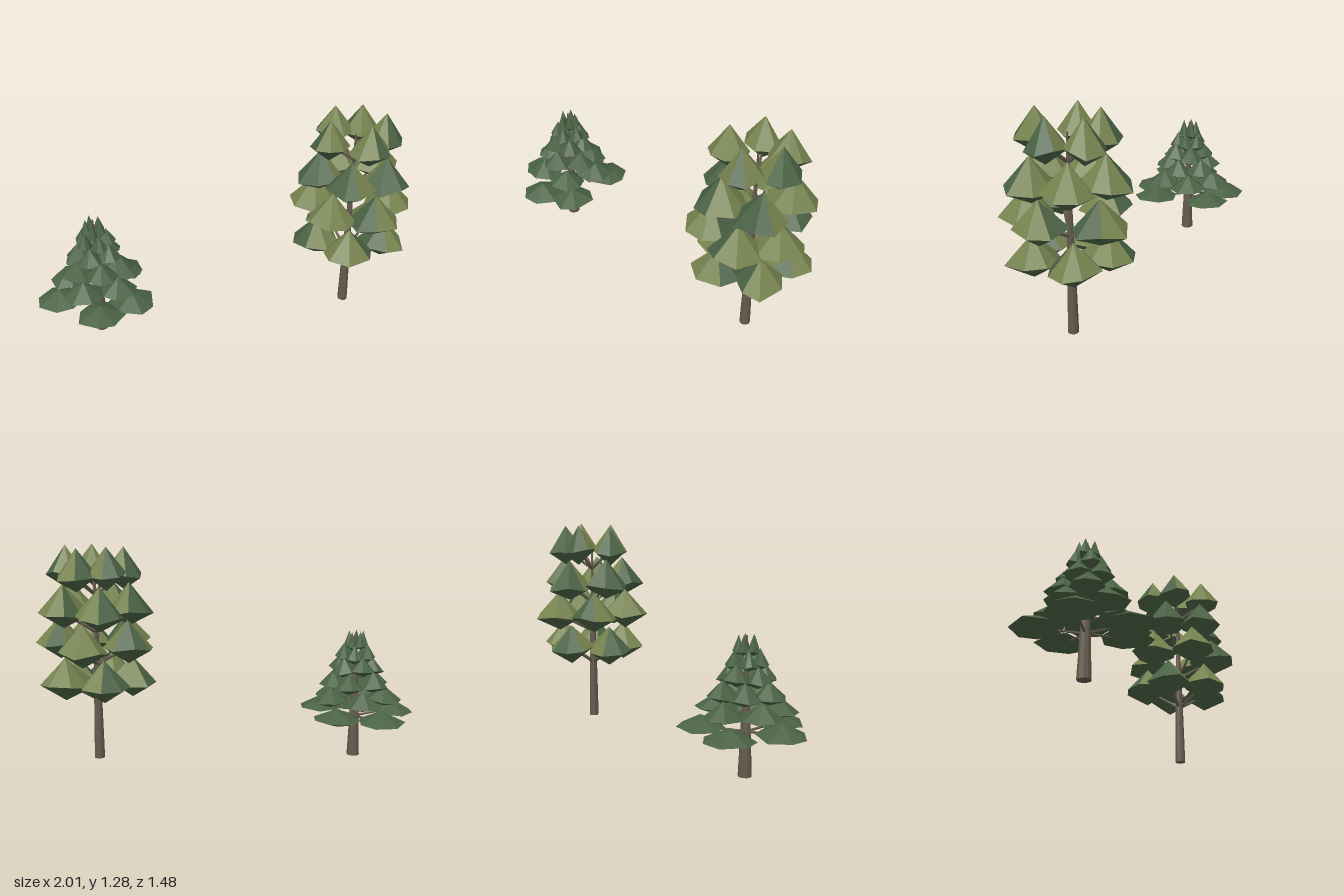
import * as THREE from 'three';

const make = (name, color) => {
  const m = new THREE.MeshStandardMaterial({ color, flatShading: true });
  m.name = name;
  return m;
};

// small seeded generator for slightly uneven rims
function seeded(seed) {
  let s = seed;
  return () => (s = (s * 16807) % 2147483647) / 2147483647;
}

// leaf clump: uneven seven-sided rim, tall peak above, shallow keel below
// material 0 is the underside, topOf(azimuth) picks the material of each upper facet
function clumpGeometry(r, up, down, rand, topOf) {
  const n = 7, rim = [], pos = [];
  const spin = rand() * Math.PI;
  for (let i = 0; i < n; i++) {
    const a = spin + ((i + 0.3 * (rand() - 0.5)) / n) * Math.PI * 2;
    const q = r * (0.94 + 0.16 * rand());
    rim.push([Math.sin(a) * q, (rand() - 0.6) * up * 0.22, Math.cos(a) * q]);
  }
  const geo = new THREE.BufferGeometry();
  for (let i = 0; i < n; i++) {
    const a = rim[i], b = rim[(i + 1) % n];
    pos.push(...a, ...b, 0, up, 0);
    pos.push(...b, ...a, 0, -down, 0);
    geo.addGroup(i * 6, 3, topOf(Math.atan2(a[0] + b[0], a[2] + b[2])));
    geo.addGroup(i * 6 + 3, 3, 0);
  }
  geo.setAttribute('position', new THREE.Float32BufferAttribute(pos, 3));
  geo.computeVertexNormals();
  return geo;
}

// tapered limb between two points
function limb(name, from, to, r0, r1, sides, material) {
  const dir = to.clone().sub(from);
  const mesh = new THREE.Mesh(new THREE.CylinderGeometry(r1, r0, dir.length(), sides), material);
  mesh.name = name;
  mesh.position.copy(from).addScaledVector(dir, 0.5);
  mesh.quaternion.setFromUnitVectors(new THREE.Vector3(0, 1, 0), dir.normalize());
  return mesh;
}

// trunk sections [height, radius], then tiers of clumps,
// each clump as [direction, middle of its green side, half width of its green side]
function buildTree({ name, trunk, tiers, leaves, bark, seed, rise, branchRadius }) {
  const tree = new THREE.Group();
  tree.name = name;
  const rand = seeded(seed);
  for (let i = 0; i + 1 < trunk.length; i++) {
    const [y0, r0] = trunk[i], [y1, r1] = trunk[i + 1];
    tree.add(limb('trunk', new THREE.Vector3(0, y0, 0), new THREE.Vector3(0, y1, 0), r0, r1, 9, bark));
  }
  tiers.forEach(({ y, reach, r, up, down, clumps }) => {
    clumps.forEach(([deg, greenDir, greenWidth]) => {
      const a = THREE.MathUtils.degToRad(deg);
      const centre = new THREE.Vector3(Math.sin(a) * reach, y + (rand() - 0.5) * 0.015, Math.cos(a) * reach);
      const topOf = (azimuth) =>
        Math.cos(azimuth - THREE.MathUtils.degToRad(greenDir)) >= Math.cos(THREE.MathUtils.degToRad(greenWidth)) ? 0 : 1;
      const clump = new THREE.Mesh(clumpGeometry(r, up, down, rand, topOf), leaves);
      clump.name = 'leafClump';
      clump.position.copy(centre);
      tree.add(clump);
      const root = new THREE.Vector3(0, y - rise, 0);
      tree.add(limb('branch', root, centre, branchRadius, branchRadius * 0.5, 5, bark));
    });
  });
  return tree;
}

// all-green clumps in the given directions, and five evenly spaced ones
const allGreen = (angles) => angles.map((deg) => [deg, 0, 180]);
const ring = (start) => allGreen([0, 72, 144, 216, 288].map((deg) => deg + start));

export function createModel() {
  const bark = make('bark', 0x645b4e);
  const olive = make('oliveLeaf', 0x75824e);
  const green = make('greenLeaf', 0x4a6244);

  const model = new THREE.Group();
  model.name = 'trees';

  // tall round-crowned tree
  const tall = buildTree({
    name: 'tallTree', bark, leaves: [green, olive], seed: 77, rise: 0.12, branchRadius: 0.011,
    trunk: [[0, 0.031], [0.38, 0.024], [1.15, 0.005]],
    tiers: [
      { y: 0.485, reach: 0.207, r: 0.138, up: 0.15, down: 0.1,
        clumps: [[12, 130, 50], [84, 350, 60], [156, 50, 50], [228, 270, 40], [300, 285, 50]] },
      { y: 0.695, reach: 0.222, r: 0.147, up: 0.16, down: 0.095,
        clumps: [[-17, 180, 50], [50, 320, 60], [108, 200, 40], [196, 110, 60], [272, 230, 40]] },
      { y: 0.89, reach: 0.2, r: 0.138, up: 0.17, down: 0.085,
        clumps: [[8, 340, 80], [80, 30, 60], [152, 250, 40], [224, 270, 50], [296, 300, 100]] },
      { y: 1.11, reach: 0.17, r: 0.112, up: 0.16, down: 0.09,
        clumps: [[41, 60, 45], [113, 90, 80], [181, 270, 30], [240, 250, 50], [312, 280, 55]] },
    ],
  });
  tall.position.set(0.65, 0, -0.37);

  // short conical evergreen
  const short = buildTree({
    name: 'shortTree', bark, leaves: [green, green], seed: 421, rise: 0.02, branchRadius: 0.008,
    trunk: [[0, 0.038], [0.26, 0.027], [0.76, 0.004]],
    tiers: [
      { y: 0.266, reach: 0.237, r: 0.137, up: 0.068, down: 0.04, clumps: allGreen([29, 82, 175, 240, 312]) },
      { y: 0.355, reach: 0.17, r: 0.113, up: 0.083, down: 0.04, clumps: ring(0) },
      { y: 0.445, reach: 0.127, r: 0.092, up: 0.088, down: 0.038, clumps: ring(40) },
      { y: 0.53, reach: 0.095, r: 0.073, up: 0.085, down: 0.036, clumps: ring(10) },
      { y: 0.605, reach: 0.07, r: 0.05, up: 0.085, down: 0.03, clumps: ring(50) },
      { y: 0.675, reach: 0.043, r: 0.031, up: 0.088, down: 0.022, clumps: ring(20) },
    ],
  });
  short.position.set(-0.675, 0, 0.415);

  model.add(tall, short);
  return model;
}
